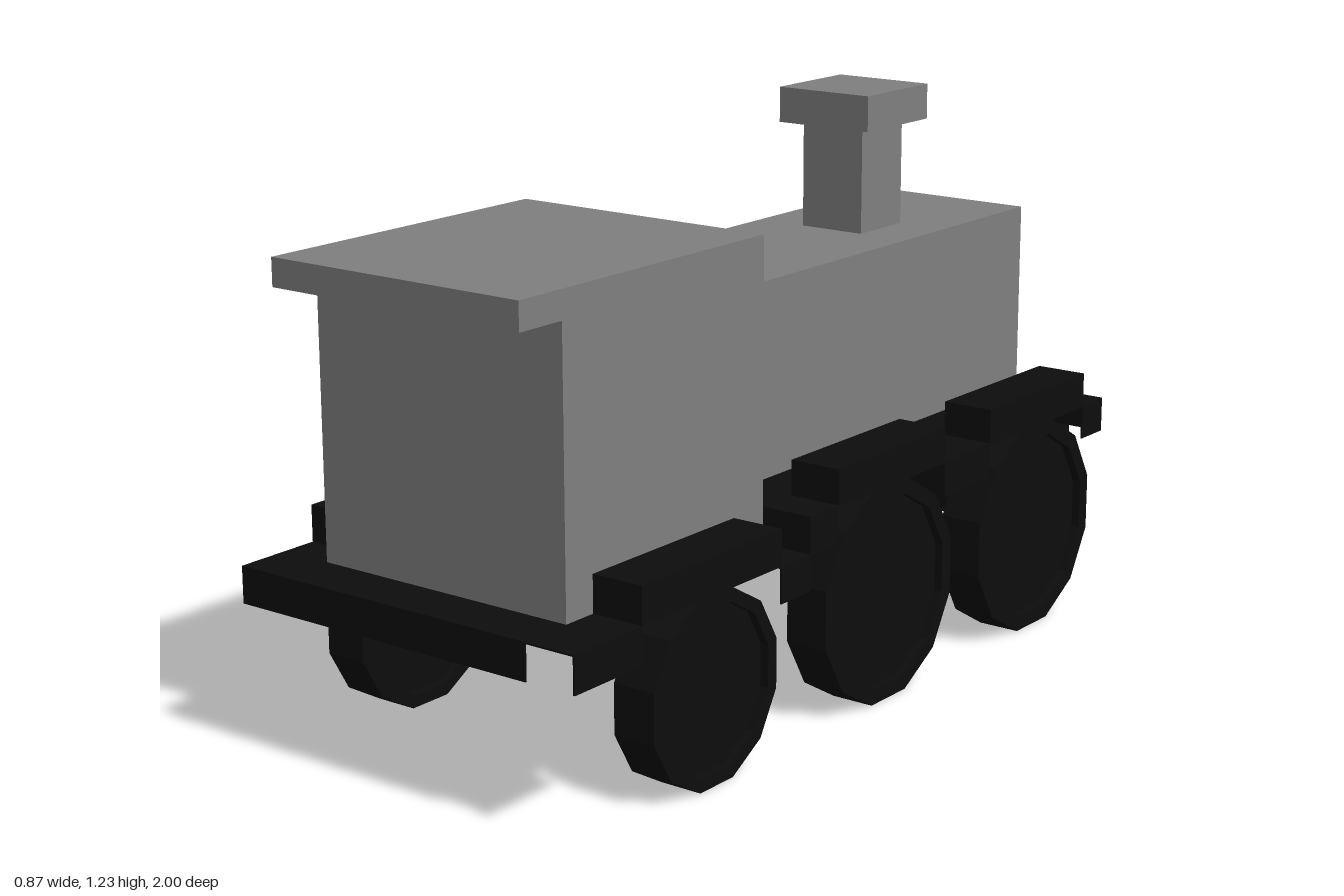
import * as THREE from 'three';

const T = 0.004; // sheet thickness of the running boards

export function createModel() {
  const model = new THREE.Group();
  model.name = 'steamLocomotive';
  const grey = new THREE.MeshStandardMaterial({ color: 0x808080, flatShading: true });
  grey.name = 'body grey';
  const black = new THREE.MeshStandardMaterial({ color: 0x0d0d0d, flatShading: true, side: THREE.DoubleSide });
  black.name = 'chassis black';

  // Box between two corners
  function box(name, mat, x0, x1, y0, y1, z0, z1, parent = model) {
    const g = new THREE.BoxGeometry(x1 - x0, y1 - y0, z1 - z0);
    g.translate((x0 + x1) / 2, (y0 + y1) / 2, (z0 + z1) / 2);
    const m = new THREE.Mesh(g, mat);
    m.name = name;
    parent.add(m);
    return m;
  }

  // Cab with overhanging roof: side profile extruded across the width
  const cabShape = new THREE.Shape([
    [0.25, 0.4], [0.88, 0.4], [0.88, 0.99], [1, 0.99], [1, 1.05], [0.25, 1.05],
  ].map(([z, y]) => new THREE.Vector2(z, y)));
  const cabGeo = new THREE.ExtrudeGeometry(cabShape, { depth: 0.63, bevelEnabled: false });
  cabGeo.translate(0, 0, -0.315);
  cabGeo.rotateY(-Math.PI / 2);
  const cab = new THREE.Mesh(cabGeo, grey);
  cab.name = 'cab';
  model.add(cab);

  // Boiler and chimney
  box('boiler', grey, -0.2, 0.2, 0.48, 0.91, -0.94, 0.25);
  box('chimney', grey, -0.08, 0.08, 0.91, 1.15, -0.603, -0.443);
  box('chimneyCap', grey, -0.12, 0.12, 1.15, 1.23, -0.645, -0.405);

  // Central decks and front buffer plate
  box('frontDeck', black, -0.315, 0.315, 0.48 - T, 0.48, -0.94, 0.25 - T);
  box('rearDeck', black, -0.315, 0.315, 0.4 - T, 0.4, 0.25, 1);
  box('bufferPlate', black, -0.315, 0.315, 0.12, 0.48, -1, -0.94);
  box('rearSkirt', black, -0.435, 0.315, 0.32, 0.4, 1 - T, 1);

  // Stepped running boards with fenders: [z start, z end, top height]
  const steps = [
    [1, 0.8, 0.4], [0.8, 0.35, 0.48], [0.35, 0.25, 0.4], [0.25, 0.15, 0.48],
    [0.15, -0.255, 0.557], [-0.255, -0.44, 0.48], [-0.44, -0.85, 0.557], [-0.85, -0.94, 0.48],
  ];
  for (const side of [1, -1]) {
    const board = new THREE.Group();
    board.name = side > 0 ? 'leftRunningBoard' : 'rightRunningBoard';
    model.add(board);
    const plate = (name, a, b, ...rest) =>
      box(name, black, Math.min(a * side, b * side), Math.max(a * side, b * side), ...rest, board);
    steps.forEach(([z1, z0, top], i) => {
      const deck = z1 > 0.25 ? 0.4 : 0.48;
      plate('boardTop', 0.315, 0.435, top - T, top, z0, z1);
      plate('boardSkirt', 0.435 - T, 0.435, top - 0.08, top, z0, z1);
      if (top > deck) plate('fenderInnerWall', 0.315, 0.315 + T, deck, top, z0, z1);
      const next = steps[i + 1];
      if (next) {
        const lo = Math.min(top, next[2]), hi = Math.max(top, next[2]);
        // riser sits inside the taller step
        const z = top > next[2] ? z0 : z0 - T;
        plate('boardRiser', 0.315, 0.435, lo - T, hi, z, z + T);
      }
    });
    plate('boardEnd', 0.315, 0.435, 0.4, 0.48, -0.94, -0.94 + T);
  }

  // Twelve-sided wheels with recessed faces: [z, radius across flats]
  const wheels = [[0.565, 0.2], [-0.048, 0.239], [-0.645, 0.239]];
  for (const [z, r] of wheels) {
    const R = r / Math.cos(Math.PI / 12);
    const inner = R * 0.86, h = 0.049, d = 0.03;
    const profile = [[0, -d], [inner, -d], [inner, -h], [R, -h], [R, h], [inner, h], [inner, d], [0, d]]
      .map(([a, b]) => new THREE.Vector2(a, b));
    const geo = new THREE.LatheGeometry(profile, 12, Math.PI / 12);
    geo.rotateZ(Math.PI / 2);
    for (const side of [1, -1]) {
      const wheel = new THREE.Mesh(geo, black);
      wheel.name = side > 0 ? 'leftWheel' : 'rightWheel';
      wheel.position.set(side * 0.385, r, z);
      model.add(wheel);
    }
  }
  return model;
}
